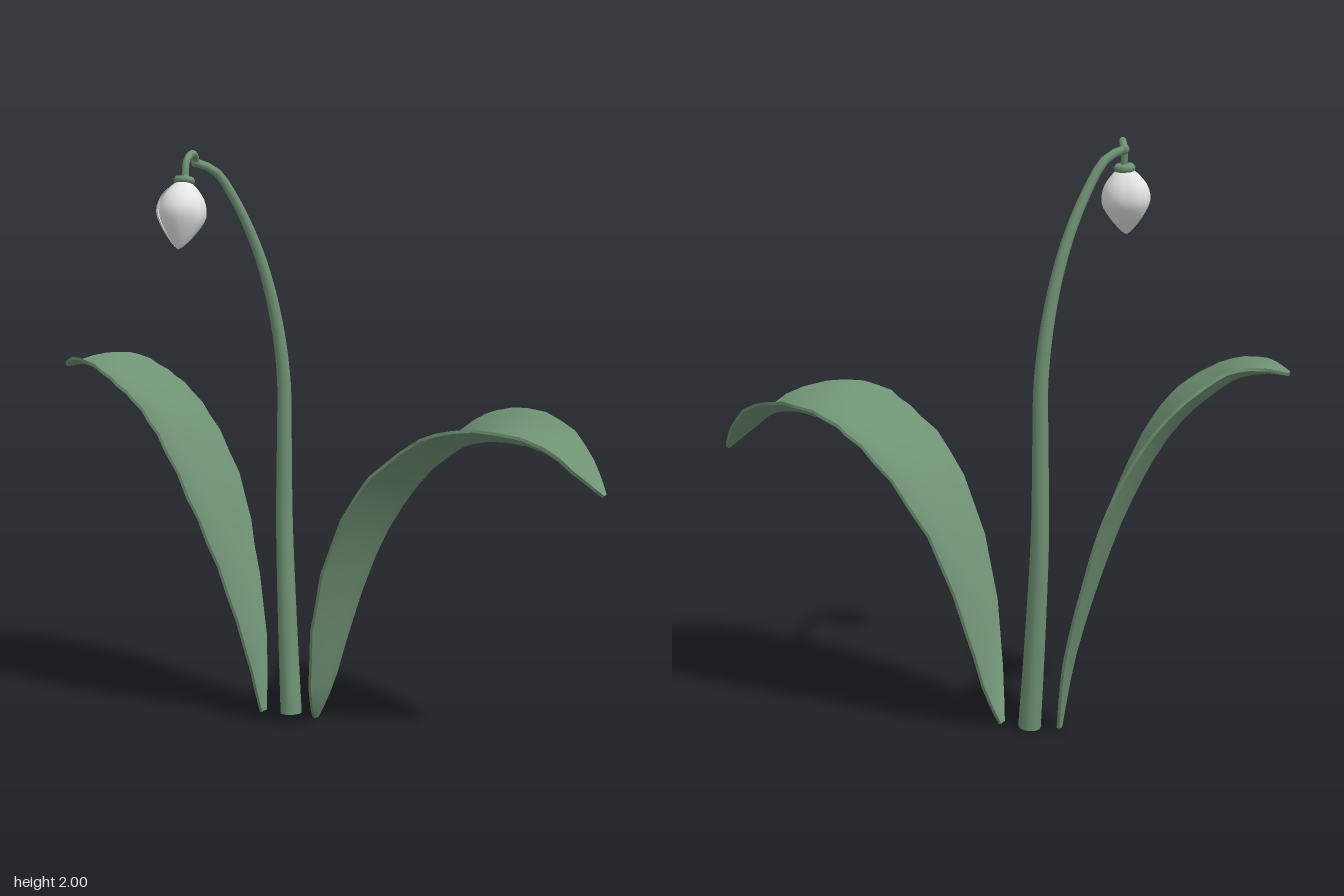
import * as THREE from 'three';
import { toCreasedNormals } from 'three/addons/utils/BufferGeometryUtils.js';

const V = (p) => new THREE.Vector3(...p);
const curveOf = (pts) => new THREE.CatmullRomCurve3(pts.map(V), false, 'centripetal');

function makeMesh(name, geometry, material) {
  const mesh = new THREE.Mesh(geometry, material);
  mesh.name = name;
  return mesh;
}

// Tube whose radius runs from r0 to r1
function taperedTube(curve, segments, r0, r1, sides) {
  const geo = new THREE.TubeGeometry(curve, segments, 1, sides);
  const pos = geo.attributes.position, v = new THREE.Vector3();
  for (let i = 0; i < pos.count; i++) {
    const t = Math.floor(i / (sides + 1)) / segments;
    const c = curve.getPointAt(t);
    v.fromBufferAttribute(pos, i).sub(c).multiplyScalar(r0 + (r1 - r0) * t).add(c);
    pos.setXYZ(i, v.x, v.y, v.z);
  }
  return geo;
}

// Thin channelled blade lofted between two edge curves, with a scalloped rim
function leafGeometry(edgeA, edgeB, sag) {
  const a = curveOf(edgeA), b = curveOf(edgeB);
  const rows = 26, cols = 10, half = 0.005, ring = 2 * (cols + 1);
  const mid = (t) => a.getPoint(t).lerp(b.getPoint(t), 0.5);
  const verts = [], index = [];
  for (let i = 0; i <= rows; i++) {
    const t = i / rows, c = mid(t);
    const w = b.getPoint(t).sub(a.getPoint(t)).multiplyScalar(0.5);
    const tangent = mid(Math.min(1, t + 0.02)).sub(mid(Math.max(0, t - 0.02)));
    const n = tangent.cross(w).normalize();
    const ripple = i % 2 ? 0.025 : -0.025;
    const depth = w.length() * sag;
    const point = (j, side) => {
      const u = (2 * j) / cols - 1;
      const p = c.clone()
        .addScaledVector(w, u * (1 + ripple * u * u))
        .addScaledVector(n, -depth * (1 - u * u) + side * half);
      verts.push(p.x, Math.max(0, p.y), p.z);
    };
    for (let j = 0; j <= cols; j++) point(j, 1);
    for (let j = cols; j >= 0; j--) point(j, -1);
  }
  for (let i = 0; i < rows; i++) {
    for (let j = 0; j < ring; j++) {
      const k = (j + 1) % ring, p = i * ring, q = p + ring;
      index.push(p + j, q + j, p + k, q + j, q + k, p + k);
    }
  }
  // Close the foot and the tip
  const last = rows * ring;
  for (let j = 0; j < cols; j++) {
    const d = ring - 1 - j;
    index.push(j, j + 1, d - 1, j, d - 1, d);
    index.push(last + j, last + d - 1, last + j + 1, last + j, last + d, last + d - 1);
  }
  const geo = new THREE.BufferGeometry();
  geo.setAttribute('position', new THREE.Float32BufferAttribute(verts, 3));
  geo.setIndex(index);
  return toCreasedNormals(geo, 0.9);
}

// One closed petal: a swept profile that widens towards its overlapping edge
function petalGeometry(profile, start, span) {
  const steps = 8, rows = profile.length - 1;
  const geo = new THREE.LatheGeometry(profile, steps, start, span);
  const pos = geo.attributes.position;
  for (let i = 0; i < pos.count; i++) {
    const u = Math.floor(i / (rows + 1)) / steps;
    const k = 0.9 + 0.1 * u + 0.07 * Math.sin(Math.PI * u);
    pos.setX(i, pos.getX(i) * k);
    pos.setZ(i, pos.getZ(i) * k);
  }
  geo.computeVertexNormals();
  return geo;
}

export function createModel() {
  const green = new THREE.MeshStandardMaterial({ color: 0x6f9274 });
  green.name = 'leafGreen';
  const white = new THREE.MeshStandardMaterial({ color: 0xe6e6e6, side: THREE.DoubleSide });
  white.name = 'petalWhite';
  const model = new THREE.Group();
  model.name = 'buddingFlower';

  // Arching stem
  const stemCurve = curveOf([
    [-0.045, 0, -0.185], [-0.046, 0.35, -0.22], [-0.046, 0.7, -0.247], [-0.045, 1.0, -0.248],
    [-0.047, 1.22, -0.248], [-0.08, 1.45, -0.248], [-0.14, 1.66, -0.248],
    [-0.225, 1.84, -0.248], [-0.29, 1.93, -0.248], [-0.36, 1.96, -0.248],
  ]);
  model.add(makeMesh('stem', taperedTube(stemCurve, 48, 0.039, 0.014, 12), green));
  const foot = makeMesh('stemFoot', new THREE.CircleGeometry(0.039, 12), green);
  foot.rotation.x = Math.PI / 2;
  foot.position.set(-0.045, 0.001, -0.185);
  model.add(foot);
  const joint = makeMesh('stemJoint', new THREE.SphereGeometry(0.017, 12, 8), green);
  joint.position.set(-0.36, 1.96, -0.248);
  model.add(joint);

  // Small hooked stalk that carries the bud
  const stalkCurve = curveOf([
    [-0.358, 1.96, -0.25], [-0.372, 1.984, -0.22], [-0.392, 1.987, -0.19],
    [-0.418, 1.96, -0.16], [-0.428, 1.89, -0.145],
  ]);
  model.add(makeMesh('budStalk', taperedTube(stalkCurve, 20, 0.012, 0.012, 10), green));

  // Hanging bud, built along its own axis with the tip down
  const bud = new THREE.Group();
  bud.name = 'bud';
  bud.position.set(-0.43, 1.9, -0.145);
  const down = new THREE.Vector3(-0.035, -0.23, 0.035).normalize();
  bud.quaternion.setFromUnitVectors(new THREE.Vector3(0, -1, 0), down);
  const calyxProfile = [[0.012, 0.012], [0.03, 0.01], [0.037, 0], [0.034, -0.012], [0.001, -0.016]]
    .reverse().map(([r, y]) => new THREE.Vector2(r, y));
  bud.add(makeMesh('calyx', new THREE.LatheGeometry(calyxProfile, 12), green));
  const petalProfile = new THREE.SplineCurve([
    [0.001, -0.232], [0.022, -0.215], [0.06, -0.165], [0.083, -0.115], [0.074, -0.065], [0.045, -0.025], [0.018, -0.002],
  ].map(([r, y]) => new THREE.Vector2(r, y))).getPoints(16);
  for (let i = 0; i < 3; i++) {
    const start = (i * Math.PI * 2) / 3 + 0.3;
    bud.add(makeMesh('petal', petalGeometry(petalProfile, start, 2.35), white));
  }
  model.add(bud);

  // Front leaf, drooping at the tip
  model.add(makeMesh('frontLeaf', leafGeometry(
    [
      [0.01, 0, -0.1], [-0.04, 0.12, 0.0], [-0.072, 0.4, 0.11], [-0.055, 0.68, 0.22], [0.01, 0.92, 0.35],
      [0.1, 1.04, 0.45], [0.16, 1.1, 0.53], [0.28, 1.125, 0.62], [0.46, 1.08, 0.7], [0.59, 0.98, 0.715], [0.69, 0.905, 0.71],
    ],
    [
      [0.035, 0, -0.12], [0.1, 0.12, -0.14], [0.2, 0.4, -0.16], [0.305, 0.68, -0.135], [0.44, 0.92, -0.06],
      [0.53, 1.04, 0.03], [0.6, 1.1, 0.1], [0.68, 1.125, 0.24], [0.73, 1.08, 0.43], [0.735, 0.98, 0.58], [0.71, 0.905, 0.69],
    ], 0.22), green));

  // Back leaf, more upright
  model.add(makeMesh('backLeaf', leafGeometry(
    [
      [-0.12, 0, -0.25], [-0.092, 0.25, -0.33], [-0.095, 0.55, -0.44], [-0.12, 0.8, -0.53], [-0.2, 1.02, -0.61],
      [-0.28, 1.14, -0.66], [-0.36, 1.21, -0.69], [-0.46, 1.265, -0.71], [-0.58, 1.27, -0.717], [-0.72, 1.24, -0.69],
    ],
    [
      [-0.145, 0, -0.23], [-0.22, 0.25, -0.17], [-0.32, 0.55, -0.145], [-0.42, 0.8, -0.15], [-0.51, 1.02, -0.2],
      [-0.575, 1.14, -0.26], [-0.635, 1.21, -0.33], [-0.69, 1.265, -0.44], [-0.73, 1.275, -0.57], [-0.735, 1.245, -0.67],
    ], 0.22), green));

  return model;
}
